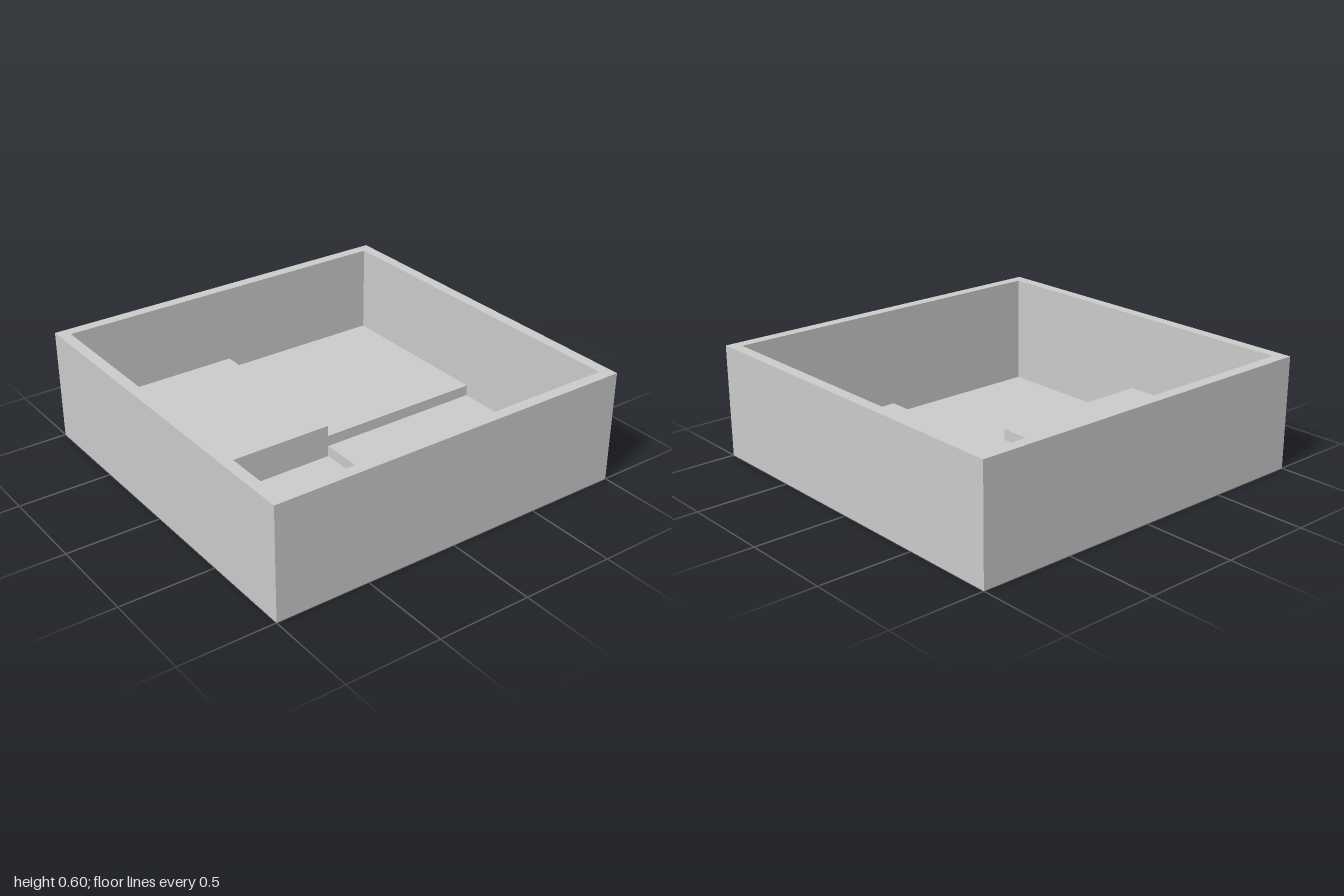
import * as THREE from 'three';

const HALF = 1, INNER = 0.94, TOP = 0.6;
const material = new THREE.MeshStandardMaterial({ color: 0xcccccc, side: THREE.DoubleSide });

// Upright sheet between two heights, facing +z before its turn about y
function wall(name, width, y0, y1, x, z, turn) {
  const mesh = new THREE.Mesh(new THREE.PlaneGeometry(width, y1 - y0), material);
  mesh.name = name;
  mesh.position.set(x, (y0 + y1) / 2, z);
  mesh.rotation.y = turn;
  return mesh;
}

// Level sheet facing up
function level(name, geometry, x, y, z) {
  const mesh = new THREE.Mesh(geometry.rotateX(-Math.PI / 2), material);
  mesh.name = name;
  mesh.position.set(x, y, z);
  return mesh;
}

function square(path, r) {
  return path.moveTo(-r, -r).lineTo(r, -r).lineTo(r, r).lineTo(-r, r).closePath();
}

export function createModel() {
  const model = new THREE.Group();
  model.name = 'steppedTray';

  // Outer walls, open underneath
  for (let i = 0; i < 4; i++) {
    const turn = i * Math.PI / 2;
    model.add(wall('outerWall', 2 * HALF, 0, TOP, HALF * Math.sin(turn), HALF * Math.cos(turn), turn));
  }

  // Flat rim joining outer and inner walls
  const rim = square(new THREE.Shape(), HALF);
  rim.holes.push(square(new THREE.Path(), INNER));
  model.add(level('rim', new THREE.ShapeGeometry(rim), 0, TOP, 0));

  // Four floor quarters, each with inner walls that stop at its own height
  const quarters = [[-1, -1, 0.18], [1, -1, 0.12], [1, 1, 0.06], [-1, 1, 0]];
  const mid = INNER / 2;
  for (const [sx, sz, h] of quarters) {
    model.add(
      level('floorQuarter', new THREE.PlaneGeometry(INNER, INNER), sx * mid, h, sz * mid),
      wall('innerSideWall', INNER, h, TOP, sx * INNER, sz * mid, -sx * Math.PI / 2),
      wall('innerEndWall', INNER, h, TOP, sx * mid, sz * INNER, sz > 0 ? Math.PI : 0)
    );
  }

  // Risers between neighbouring quarters
  model.add(
    wall('riser', INNER, 0.12, 0.18, 0, -mid, Math.PI / 2),
    wall('riser', INNER, 0.06, 0.12, mid, 0, 0),
    wall('riser', INNER, 0, 0.06, 0, mid, -Math.PI / 2),
    wall('riser', INNER, 0, 0.18, -mid, 0, 0)
  );
  return model;
}
